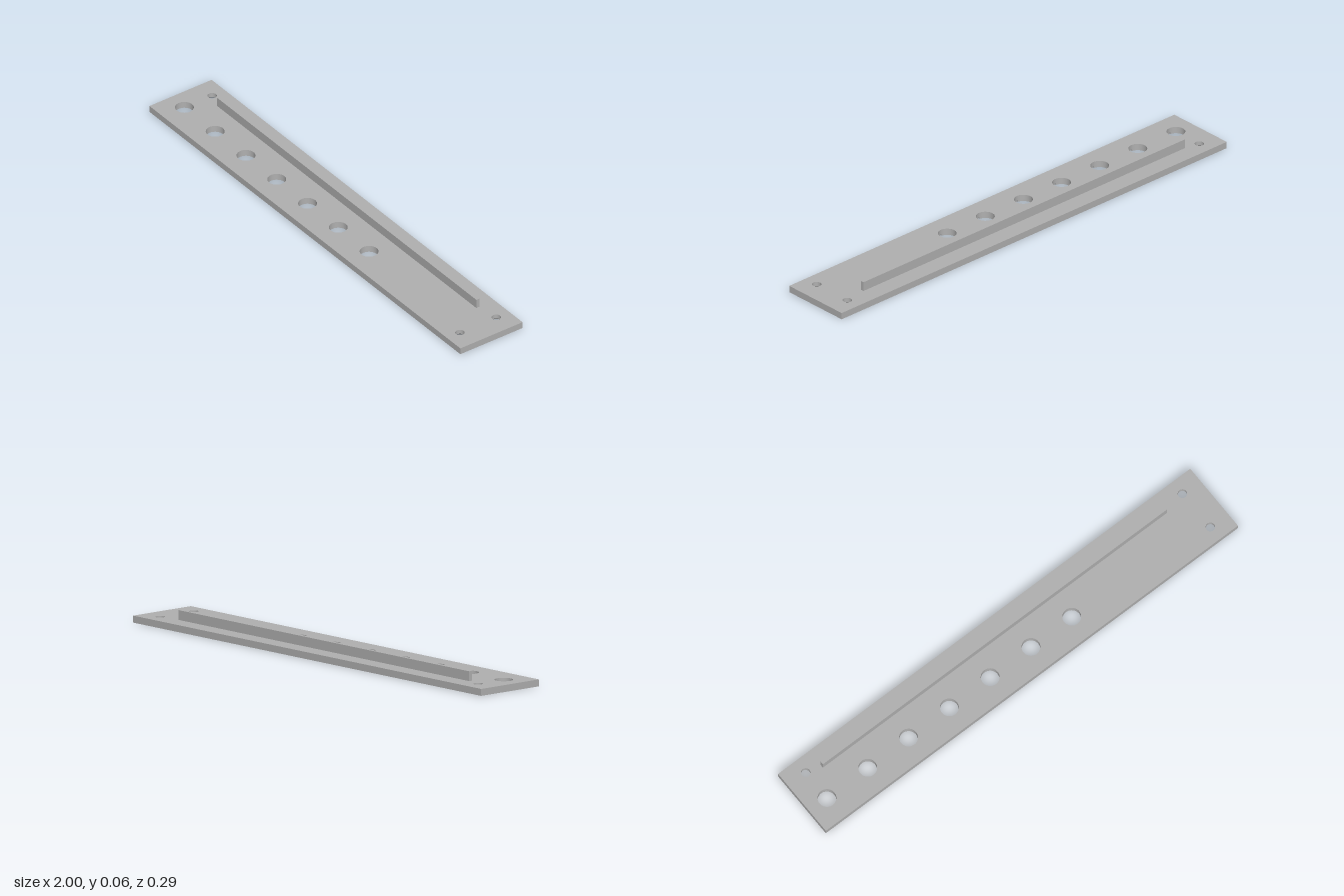
import * as THREE from 'three';

const HALF_DEPTH = 0.147, THICK = 0.027, LOWER = 0.009;
const BIG_R = 0.036, SCREW_R = 0.018, SINK_R = 0.027;
const bigHoles = Array.from({ length: 7 }, (_, i) => [-0.914 + i * 0.198, 0.045]);
const screwHoles = [[-0.914, -0.086], [0.914, -0.086], [0.914, 0.086]];

// Round hole in plan; shape y is -z
function roundHole(x, z, r) {
  return new THREE.Path().absarc(x, -z, r, 0, Math.PI * 2, true);
}

// Round hole with a narrow slot reaching towards the front
function slottedHole(x, z) {
  const w = 0.004, a = Math.asin(w / BIG_R), end = -z - 0.064;
  const path = new THREE.Path();
  path.absarc(x, -z, BIG_R, -Math.PI / 2 + a, Math.PI * 1.5 - a, false);
  path.lineTo(x - w, end);
  path.lineTo(x + w, end);
  path.closePath();
  return path;
}

// One horizontal slab of the plate
function slab(name, holes, bottom, height, material) {
  const shape = new THREE.Shape([
    new THREE.Vector2(-1, -HALF_DEPTH), new THREE.Vector2(1, -HALF_DEPTH),
    new THREE.Vector2(1, HALF_DEPTH), new THREE.Vector2(-1, HALF_DEPTH),
  ]);
  shape.holes.push(...holes);
  const geometry = new THREE.ExtrudeGeometry(shape, { depth: height, bevelEnabled: false, curveSegments: 32 });
  geometry.rotateX(-Math.PI / 2);
  const mesh = new THREE.Mesh(geometry, material);
  mesh.name = name;
  mesh.position.y = bottom;
  return mesh;
}

export function createModel() {
  const group = new THREE.Group();
  group.name = 'mountingPlate';
  const grey = new THREE.MeshStandardMaterial({ color: 0xb0b0b0, side: THREE.DoubleSide });
  grey.name = 'grey';

  // Plate: slotted underside layer and plain upper layer
  group.add(slab('plateUnderside', [
    ...bigHoles.map(([x, z]) => slottedHole(x, z)),
    ...screwHoles.map(([x, z]) => roundHole(x, z, SINK_R)),
  ], 0, LOWER, grey));
  group.add(slab('plateTop', [
    ...bigHoles.map(([x, z]) => roundHole(x, z, BIG_R)),
    ...screwHoles.map(([x, z]) => roundHole(x, z, SCREW_R)),
  ], LOWER, THICK - LOWER, grey));

  // Conical countersinks under the screw holes
  for (const [x, z] of screwHoles) {
    const sink = new THREE.Mesh(new THREE.CylinderGeometry(SCREW_R, SINK_R, LOWER, 32, 1, true), grey);
    sink.name = 'countersink';
    sink.position.set(x, LOWER / 2, z);
    group.add(sink);
  }

  // Upright rib along the back
  const rib = new THREE.Mesh(new THREE.BoxGeometry(1.67, 0.038, 0.014), grey);
  rib.name = 'rib';
  rib.position.set(-0.015, THICK + 0.019, -0.068);
  group.add(rib);
  return group;
}
